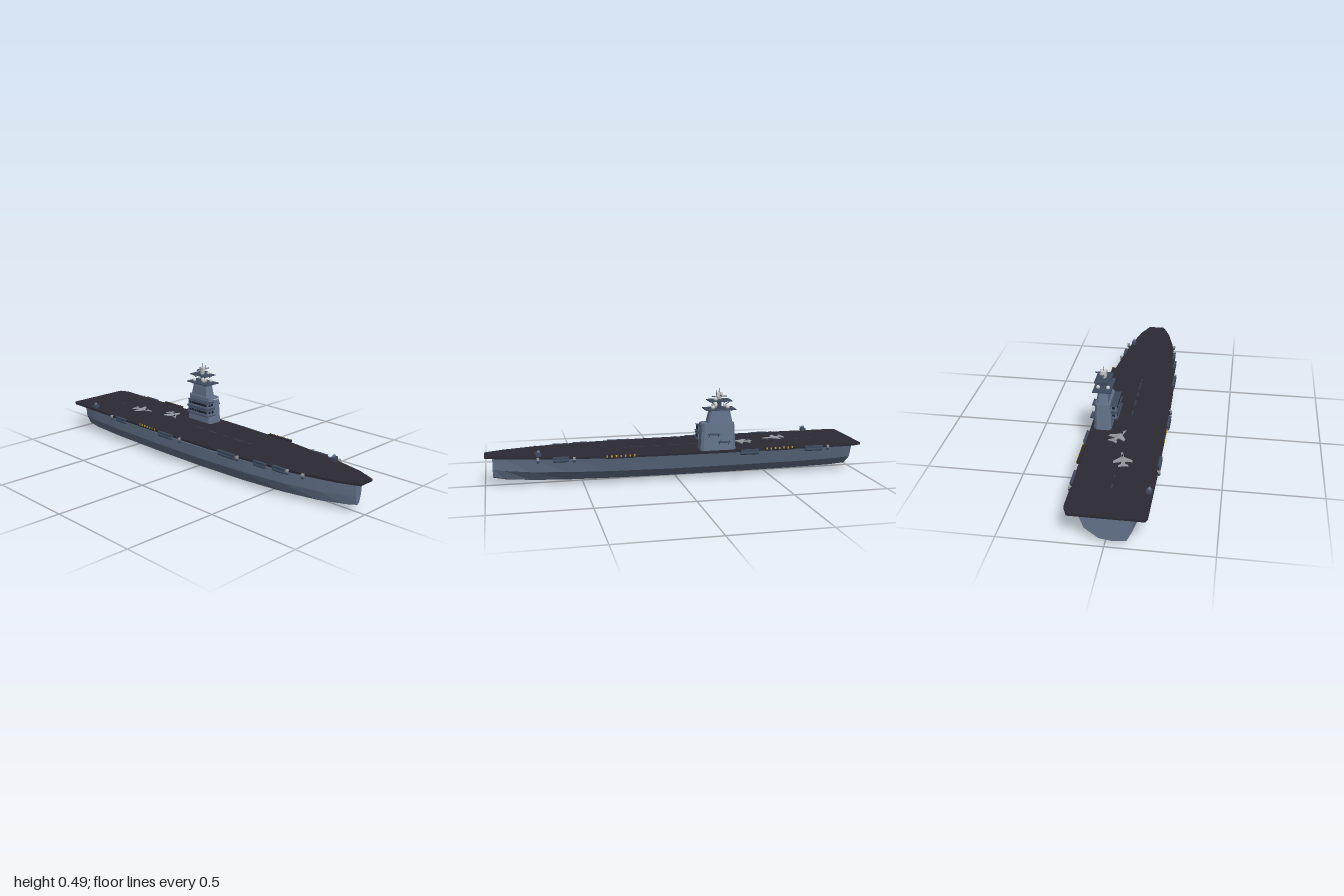
import * as THREE from 'three';

const mat = (name, color, side = THREE.FrontSide) => {
  const m = new THREE.MeshStandardMaterial({ color, side });
  m.name = name;
  return m;
};

export function createModel() {
  const M = {
    hull: mat('hull blue grey', 0x64748c),
    deck: mat('deck charcoal', 0x2b2a33),
    steel: mat('dark steel', 0x3d4a5e),
    glass: mat('window dark', 0x1c222c),
    white: mat('radome white', 0xc9cacc),
    grey: mat('aircraft grey', 0x94979b),
    yellow: mat('rail yellow', 0xb89a3a),
    mark: mat('deck marking', 0x343b4a),
  };
  const model = new THREE.Group();
  model.name = 'carrier';

  const add = (name, geo, m, x = 0, y = 0, z = 0, parent = model) => {
    const mesh = new THREE.Mesh(geo, m);
    mesh.name = name;
    mesh.position.set(x, y, z);
    parent.add(mesh);
    return mesh;
  };
  const box = (name, m, x, y, z, w, h, d, parent) =>
    add(name, new THREE.BoxGeometry(w, h, d), m, x, y, z, parent);
  const ball = (name, m, x, y, z, r, parent) =>
    add(name, new THREE.SphereGeometry(r, 16, 12), m, x, y, z, parent);
  // Thin round bar between two points
  const bar = (name, m, a, b, r, parent) => {
    const p = new THREE.Vector3(...a), q = new THREE.Vector3(...b);
    const mesh = add(name, new THREE.CylinderGeometry(r, r, p.distanceTo(q), 6), m, 0, 0, 0, parent);
    mesh.position.copy(p).lerp(q, 0.5);
    mesh.quaternion.setFromUnitVectors(new THREE.Vector3(0, 1, 0), q.sub(p).normalize());
    return mesh;
  };
  // Outline in x,z extruded upwards from y = 0
  const slab = (pts, h) => {
    const s = new THREE.Shape(pts.map(([x, z]) => new THREE.Vector2(x, -z)));
    return new THREE.ExtrudeGeometry(s, { depth: h, bevelEnabled: false }).rotateX(-Math.PI / 2);
  };
  // Chamfered block that narrows towards the top
  const taperedBlock = (w, d, h, c, sx, sz) => {
    const a = w / 2, b = d / 2;
    const g = slab([[-a + c, b], [a - c, b], [a, b - c], [a, c - b], [a - c, -b], [c - a, -b], [-a, c - b], [-a, b - c]], h);
    const p = g.attributes.position;
    for (let i = 0; i < p.count; i++) {
      const t = p.getY(i) / h;
      p.setX(i, p.getX(i) * (1 + (sx - 1) * t));
      p.setZ(i, p.getZ(i) * (1 + (sz - 1) * t));
    }
    g.computeVertexNormals();
    return g;
  };

  // Hull: one lopsided section [z, y], scaled along stations [x, width, keel rise]
  const section = [[0.155, 0.133], [0.15, 0.068], [0.12, 0.012], [0.04, 0.002], [-0.035, 0.012], [-0.115, 0.068], [-0.15, 0.155]];
  const stations = [[-0.97, 0.82, 0.012], [-0.88, 0.91, 0.006], [-0.65, 0.98, 0.002], [-0.3, 1, 0], [0.05, 0.98, 0],
    [0.35, 0.88, 0.002], [0.58, 0.7, 0.005], [0.77, 0.47, 0.012], [0.9, 0.26, 0.026], [0.96, 0.15, 0.04]];
  const rings = stations.map(([x, w, rise]) => section.map(([z, y], j) => {
    const top = j === 0 || j === 6;
    return [x, top ? 0.144 - 0.0715 * z * w : y + rise * (1 - y / 0.15), z * w];
  }));
  const v = [], n = section.length, last = rings.length - 1;
  for (let i = 0; i < last; i++) for (let j = 0; j < n; j++) {
    const k = (j + 1) % n;
    const [a, b, c, d] = [rings[i][j], rings[i][k], rings[i + 1][k], rings[i + 1][j]];
    v.push(...a, ...b, ...c, ...a, ...c, ...d);
  }
  for (let j = 1; j < n - 1; j++) {
    v.push(...rings[last][0], ...rings[last][j], ...rings[last][j + 1]);
    v.push(...rings[0][0], ...rings[0][j + 1], ...rings[0][j]);
  }
  const hullGeo = new THREE.BufferGeometry();
  hullGeo.setAttribute('position', new THREE.Float32BufferAttribute(v, 3));
  hullGeo.computeVertexNormals();
  add('hull', hullGeo, M.hull);

  // Flight deck
  add('flightDeck', slab([[-1, 0.185], [-0.98, 0.194], [-0.6, 0.198], [-0.2, 0.197], [0.15, 0.19], [0.4, 0.175], [0.6, 0.152],
    [0.75, 0.127], [0.9, 0.088], [1, 0.045], [1, -0.045], [0.9, -0.088], [0.75, -0.122], [0.6, -0.147], [0.4, -0.172],
    [0.1, -0.188], [-0.2, -0.193], [-0.6, -0.187], [-0.95, -0.187], [-1, -0.165]], 0.011), M.deck, 0, 0.157, 0);
  for (const [x, w] of [[-0.77, 0.03], [-0.69, 0.02], [-0.1, 0.05], [0, 0.06], [0.1, 0.04], [0.2, 0.08], [0.27, 0.02]])
    box('centreMark', M.mark, x, 0.1685, 0, w, 0.001, 0.009);

  // Rounded sponsons hanging from the deck edge: x, z, length
  for (const [x, z, len] of [[-0.54, 0.197, 0.09], [-0.16, 0.2, 0.11], [0.49, 0.165, 0.08], [0.28, 0.182, 0.12], [0.6, 0.15, 0.08],
    [-0.36, -0.198, 0.1], [-0.72, -0.19, 0.1], [0.62, -0.148, 0.08]]) {
    add('sponson', new THREE.CapsuleGeometry(0.008, len - 0.016, 4, 8).rotateZ(Math.PI / 2), M.steel, x, 0.15, z);
    box('sponsonWalk', M.steel, x, 0.164, z, len, 0.012, 0.014);
  }
  // Catwalks with yellow posts: x, z, length
  for (const [x, z, len] of [[-0.525, -0.191, 0.15], [0.32, -0.182, 0.15], [-0.31, 0.19, 0.13]]) {
    box('catwalk', M.deck, x, 0.165, z, len, 0.016, 0.016);
    const out = Math.sign(z) * 0.009;
    for (let i = 0; i < 7; i++)
      box('catwalkPost', M.yellow, x + len * (i / 6 - 0.5) * 0.94, 0.17, z + out, 0.008, 0.01, 0.003);
  }
  // Small light guns on the deck edge
  for (const [x, z] of [[0.735, -0.145], [0.555, -0.162], [0.65, 0.148], [0.735, 0.137], [0.355, 0.182], [-0.8, -0.19], [-0.05, 0.197], [-0.62, 0.2]]) {
    box('edgeGun', M.grey, x, 0.163, z, 0.012, 0.011, 0.016);
    ball('edgeGunTub', M.steel, x, 0.15, z, 0.008);
  }
  // Domed turrets
  for (const [x, z] of [[-0.8, 0.178], [0.73, -0.11]]) {
    const t = new THREE.Group();
    t.name = 'turret';
    t.position.set(x, 0.168, z);
    model.add(t);
    box('turretBase', M.steel, 0, 0.011, 0, 0.028, 0.012, 0.026, t);
    add('turretStem', new THREE.CylinderGeometry(0.008, 0.01, 0.012, 10), M.steel, 0, 0.005, 0, t);
    ball('turretDome', M.hull, 0, 0.024, 0, 0.009, t);
    bar('turretBarrel', M.steel, [0, 0.022, 0], [0.022, 0.026, 0], 0.0025, t);
  }

  // Island superstructure
  add('islandBase', taperedBlock(0.19, 0.09, 0.142, 0.014, 0.92, 0.85), M.hull, -0.198, 0.168, -0.129);
  add('islandTower', taperedBlock(0.135, 0.06, 0.07, 0.01, 0.78, 0.8), M.hull, -0.21, 0.31, -0.13);
  box('towerLight', M.white, -0.113, 0.302, -0.133, 0.006, 0.006, 0.036);
  // Bridge galleries on the deck side
  for (const [y, w] of [[0.234, 0.155], [0.275, 0.15]]) {
    const x = -0.178, z = -0.086;
    box('bridge', M.hull, x, y, z, w, 0.03, 0.052);
    box('bridgeRoof', M.steel, x, y + 0.015, z, w + 0.006, 0.003, 0.058);
    box('bridgeFloor', M.steel, x, y - 0.017, z + 0.002, w + 0.012, 0.004, 0.064);
    for (let i = 0; i < 7; i++)
      box('bridgeWindow', M.glass, x + (i - 3) * 0.02, y + 0.002, z + 0.026, 0.015, 0.013, 0.003);
    for (const s of [-1, 1]) for (const dz of [-0.011, 0.011])
      box('bridgeSideWindow', M.glass, x + s * w / 2, y + 0.002, z + dz, 0.003, 0.013, 0.015);
  }
  // Balconies on the outboard side
  for (const [x, y] of [[-0.17, 0.256], [-0.225, 0.214]]) {
    box('balcony', M.steel, x, y, -0.181, 0.06, 0.004, 0.034);
    for (const s of [-0.025, 0.025]) {
      bar('balconyStrut', M.steel, [x + s, y, -0.195], [x + s, y - 0.018, -0.168], 0.0015);
      bar('balconyPost', M.steel, [x + s, y, -0.196], [x + s, y + 0.012, -0.196], 0.0012);
    }
  }

  // Mast platforms with struts: y, width, depth
  const mx = -0.21, mz = -0.13;
  for (const [y, w, d] of [[0.382, 0.16, 0.094], [0.426, 0.12, 0.08]]) {
    box('mastPlatform', M.steel, mx, y, mz, w, 0.005, d);
    for (const sx of [-1, 1]) for (const sz of [-1, 1])
      bar('platformStrut', M.steel, [mx + sx * w * 0.42, y, mz + sz * d * 0.42],
        [mx + sx * w * 0.25, y - 0.02, mz + sz * d * 0.2], 0.0018);
  }
  add('mast', new THREE.CylinderGeometry(0.009, 0.013, 0.075, 8), M.steel, mx, 0.42, mz);
  // Radomes: x, y, z, radius
  for (const [x, y, z, r] of [[-0.19, 0.4, -0.121, 0.018], [-0.25, 0.393, -0.154, 0.01], [-0.25, 0.393, -0.103, 0.01],
    [-0.17, 0.393, -0.154, 0.01], [-0.185, 0.436, -0.148, 0.01]])
    ball('radome', M.white, x, y, z, r);
  add('radarDrum', new THREE.CylinderGeometry(0.016, 0.011, 0.022, 12), M.white, mx, 0.44, -0.128);
  box('radarPanel', M.white, mx, 0.458, mz, 0.03, 0.018, 0.027);
  box('crossSpar', M.steel, mx, 0.455, mz, 0.006, 0.003, 0.09);
  box('longSpar', M.steel, mx, 0.447, mz, 0.08, 0.003, 0.006);
  for (const s of [-1, 1]) bar('antenna', M.grey, [mx, 0.446, mz + s * 0.018], [mx, 0.473, mz + s * 0.018], 0.0015);
  bar('topPole', M.steel, [mx, 0.46, mz], [mx, 0.49, mz], 0.0012);
  bar('sidePole', M.steel, [mx + 0.015, 0.46, mz - 0.004], [mx + 0.015, 0.482, mz - 0.004], 0.0012);

  // Parked jets, nose towards local +x
  const half = [[0.065, 0], [0.045, 0.006], [0.018, 0.008], [-0.012, 0.046], [-0.026, 0.046], [-0.02, 0.01], [-0.038, 0.008], [-0.052, 0.024], [-0.062, 0.024], [-0.058, 0]];
  const outline = [...half, ...half.slice(1, -1).reverse().map(([x, z]) => [x, -z])];
  for (const [x, z, turn] of [[-0.56, 0.018, 0.2], [-0.355, -0.032, -0.45]]) {
    const jet = new THREE.Group();
    jet.name = 'jet';
    jet.position.set(x, 0.168, z);
    jet.rotation.y = turn;
    model.add(jet);
    add('jetWings', slab(outline, 0.004), M.grey, 0, 0.008, 0, jet);
    const body = add('jetBody', new THREE.SphereGeometry(0.007, 10, 8), M.grey, 0, 0.01, 0, jet);
    body.scale.set(8, 0.8, 1);
    const canopy = ball('jetCanopy', M.glass, 0.026, 0.014, 0, 0.0045, jet);
    canopy.scale.x = 2;
    for (const wx of [0.035, -0.02]) box('jetGear', M.steel, wx, 0.004, 0, 0.005, 0.009, 0.008, jet);
    for (const s of [-1, 1]) box('jetFin', M.grey, -0.046, 0.014, s * 0.008, 0.014, 0.009, 0.002, jet);
  }
  return model;
}
